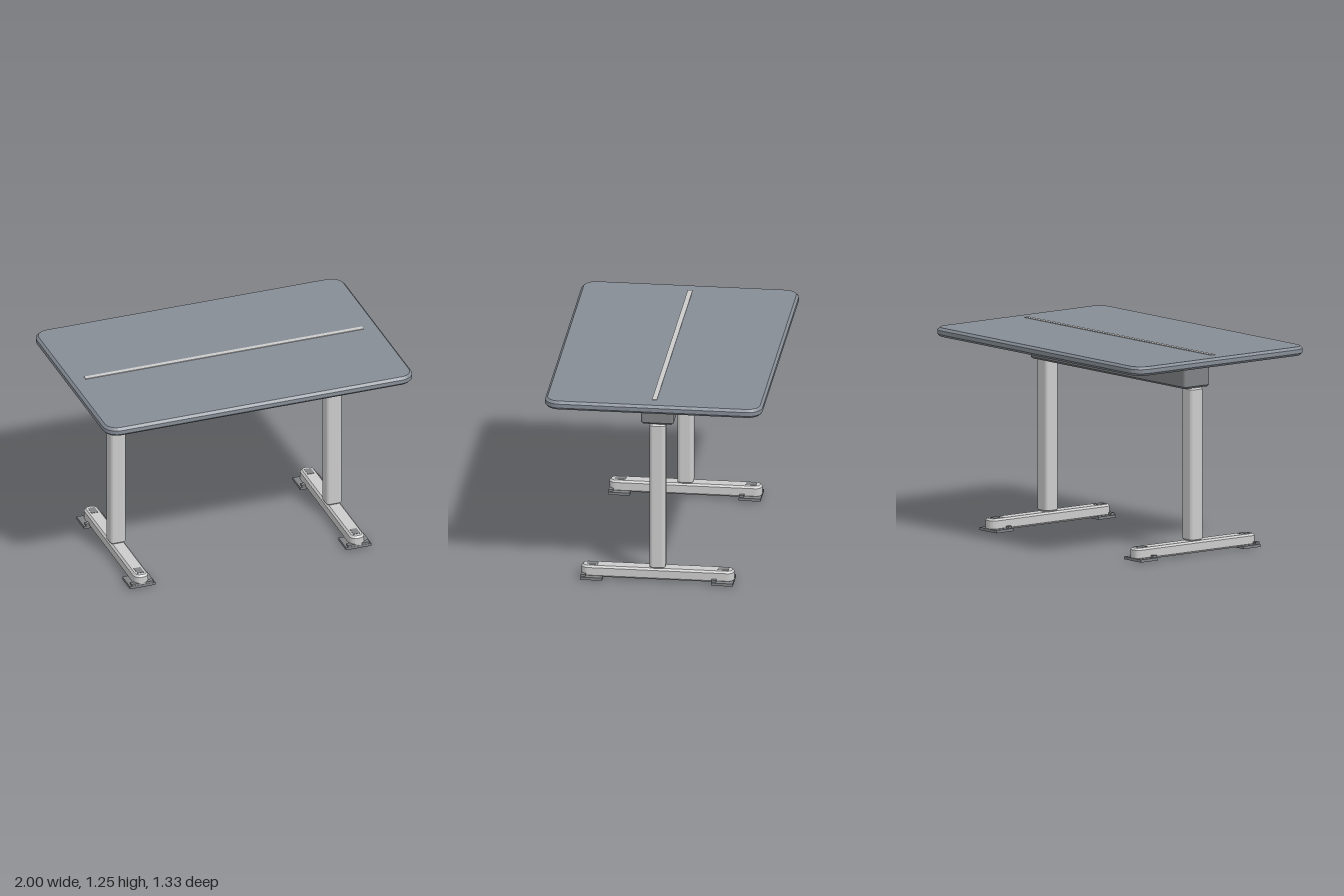
import * as THREE from 'three';

const mat = (color) => new THREE.MeshStandardMaterial({ color, flatShading: true });
const grey = mat(0xcccccc);
const slate = mat(0x868d96);
const dark = mat(0x808285);
const green = mat(0x5fc08c);
const amber = mat(0xe0b060);

// Block standing on y0, with rounded plan corners (r) and chamfered rims (b)
function slab(w, d, y0, y1, r, b, segments = 2) {
  const x = w / 2 - b, z = d / 2 - b, c = r - b;
  const s = new THREE.Shape();
  [[1, 1], [-1, 1], [-1, -1], [1, -1]].forEach(([sx, sz], i) => {
    s.absarc(sx * (x - c), sz * (z - c), c, i * Math.PI / 2, (i + 1) * Math.PI / 2, false);
  });
  s.closePath();
  const g = new THREE.ExtrudeGeometry(s, {
    depth: y1 - y0 - 2 * b, bevelThickness: b, bevelSize: b, bevelSegments: 1, curveSegments: segments,
  });
  return g.rotateX(-Math.PI / 2).translate(0, y0 + b, 0);
}

// Plain box given by its limits
function box(x0, x1, y0, y1, z0, z1) {
  return new THREE.BoxGeometry(x1 - x0, y1 - y0, z1 - z0)
    .translate((x0 + x1) / 2, (y0 + y1) / 2, (z0 + z1) / 2);
}

function add(parent, name, geometry, material) {
  const mesh = new THREE.Mesh(geometry, material);
  mesh.name = name;
  parent.add(mesh);
  return mesh;
}

// One column with its foot bar and two floor pads
function createLeg() {
  const leg = new THREE.Group();
  add(leg, 'column', slab(0.1, 0.096, 0.085, 1.028, 0.022, 0.01), grey);
  add(leg, 'footBar', slab(0.094, 0.934, 0.012, 0.085, 0.04, 0.012), grey);
  for (const side of [1, -1]) {
    const pad = new THREE.Group();
    pad.name = side > 0 ? 'frontPad' : 'backPad';
    pad.position.z = side * 0.4;
    add(pad, 'padPlate', box(-0.082, 0.082, 0.005, 0.022, -0.067, 0.067), dark);
    add(pad, 'padSole', box(-0.05, 0.05, 0, 0.006, -0.045, 0.045), dark);
    add(pad, 'padStop', box(-0.07, 0.07, 0.02, 0.035, 0.037, 0.066), dark);
    add(pad, 'footCap', box(-0.022, 0.022, 0.084, 0.087, -0.033, 0.033), dark);
    leg.add(pad);
  }
  return leg;
}

export function createModel() {
  const desk = new THREE.Group();
  desk.name = 'desk';

  // Tabletop with its inlaid strip
  add(desk, 'tabletop', slab(2, 1.33, 1.195, 1.25, 0.09, 0.015, 3), slate);
  add(desk, 'topStrip', box(-0.9, 0.9, 1.248, 1.254, -0.017, 0.013), grey);

  // Crossbeam under the top
  add(desk, 'crossbeam', slab(1.5, 0.2, 1.028, 1.195, 0.018, 0.012), dark);

  // Light strip and control panel on the front of the beam
  add(desk, 'lightStrip', box(-0.415, 0.415, 1.094, 1.109, 0.098, 0.107), green);
  add(desk, 'controlPanel', box(-0.082, 0.082, 1.043, 1.176, 0.098, 0.118), dark);
  add(desk, 'controlButton', box(-0.032, 0.032, 1.086, 1.138, 0.116, 0.125), amber);

  // Mirrored pair of legs
  for (const side of [1, -1]) {
    const leg = createLeg();
    leg.name = side > 0 ? 'leftLeg' : 'rightLeg';
    leg.position.x = side * 0.7;
    desk.add(leg);
  }
  return desk;
}
